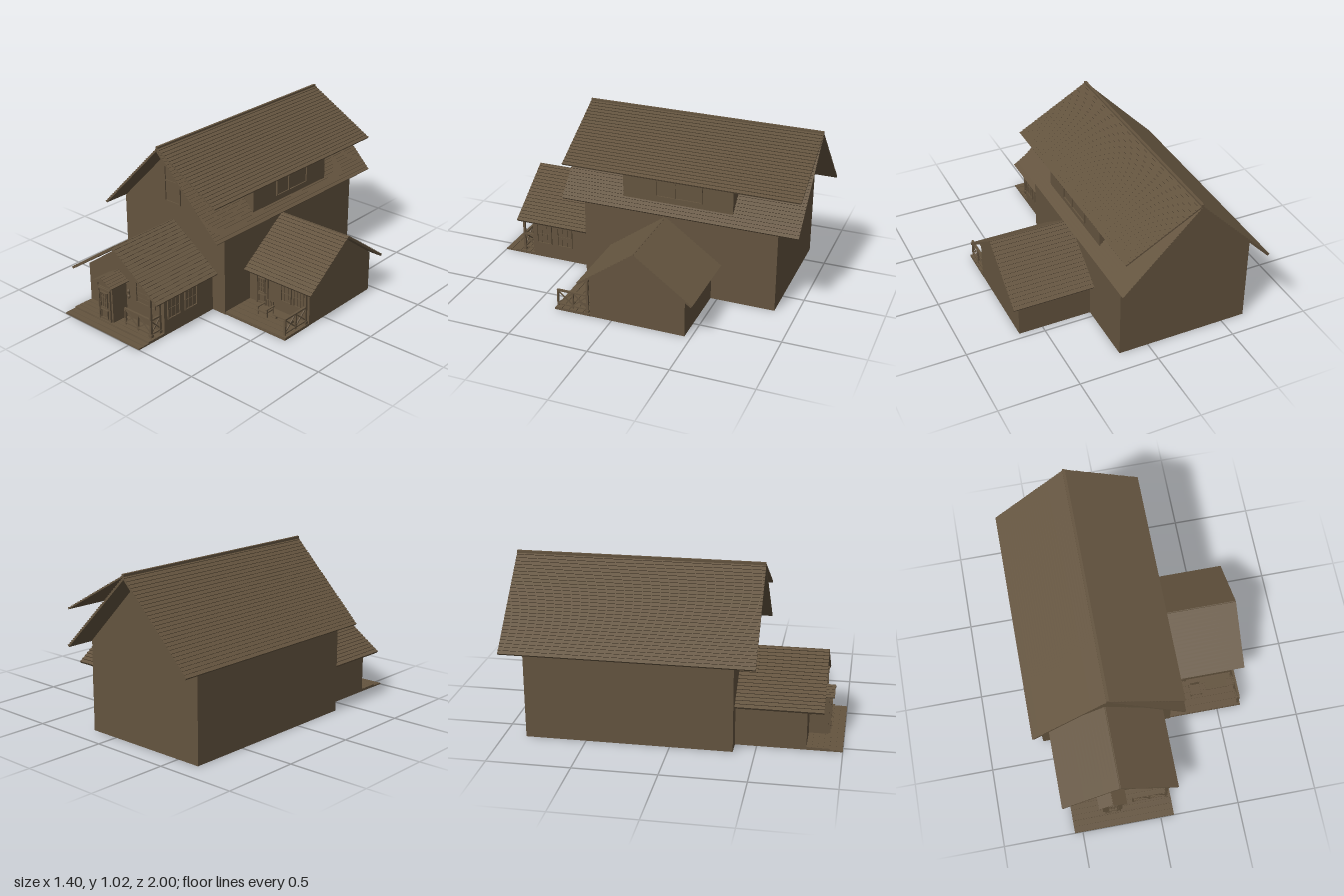
import * as THREE from 'three';

const brown = new THREE.MeshStandardMaterial({ color: 0x64543f });
brown.name = 'brown';

function add(parent, name, geo, x = 0, y = 0, z = 0) {
  const m = new THREE.Mesh(geo, brown);
  m.name = name;
  m.position.set(x, y, z);
  parent.add(m);
  return m;
}

function group(parent, name, x = 0, y = 0, z = 0, ry = 0) {
  const g = new THREE.Group();
  g.name = name;
  g.position.set(x, y, z);
  g.rotation.y = ry;
  parent.add(g);
  return g;
}

// Box given by its minimum and maximum corners
function box(parent, name, x0, x1, y0, y1, z0, z1) {
  return add(parent, name, new THREE.BoxGeometry(x1 - x0, y1 - y0, z1 - z0),
    (x0 + x1) / 2, (y0 + y1) / 2, (z0 + z1) / 2);
}

// Outline in x, y pulled along z
function prism(parent, name, pts, z0, z1) {
  const shape = new THREE.Shape(pts.map(p => new THREE.Vector2(p[0], p[1])));
  return add(parent, name, new THREE.ExtrudeGeometry(shape, { depth: z1 - z0, bevelEnabled: false }), 0, 0, z0);
}

// Roof slope with stepped shingle courses from ridge down to eave
function slope(parent, name, ridge, eave, z0, z1, courses, thick = 0.016, step = 0.006) {
  const dx = eave[0] - ridge[0], dy = eave[1] - ridge[1], len = Math.hypot(dx, dy);
  const s = Math.sign(dx), nx = -dy * s / len * s, ny = Math.abs(dx) / len;
  const at = (t, o) => [ridge[0] + dx * t + nx * o * s, ridge[1] + dy * t + ny * o];
  const pts = [];
  for (let i = 0; i < courses; i++) {
    pts.push(at(i / courses, -step), at((i + 1) / courses, 0));
  }
  pts.push(at(1, -thick), [ridge[0], ridge[1] - thick * len / Math.abs(dx)]);
  return prism(parent, name, pts, z0, z1);
}

// Bar between two points in the x, y plane
function bar(parent, name, a, b, w, d) {
  const dx = b[0] - a[0], dy = b[1] - a[1];
  const m = add(parent, name, new THREE.BoxGeometry(Math.hypot(dx, dy), w, d), (a[0] + b[0]) / 2, (a[1] + b[1]) / 2, 0);
  m.rotation.z = Math.atan2(dy, dx);
}

// Framed window facing +z, origin at its lower left corner
function windowUnit(parent, name, x, y, z, w, h, cols, rows, ry = 0, f = 0.006) {
  const g = group(parent, name, x, y, z, ry);
  box(g, 'pane', 0, w, 0, h, 0, 0.002);
  for (const u of [0, w - f]) box(g, 'frameSide', u, u + f, 0, h, 0, 0.01);
  for (const v of [0, h - f]) box(g, 'frameRail', f, w - f, v, v + f, 0, 0.01);
  for (let i = 1; i < cols; i++) box(g, 'mullion', w * i / cols - 0.0015, w * i / cols + 0.0015, f, h - f, 0.001, 0.006);
  for (let j = 1; j < rows; j++) box(g, 'crossbar', f, w - f, h * j / rows - 0.0015, h * j / rows + 0.0015, 0.001, 0.0055);
  return g;
}

// Panelled door with a glazed upper half
function door(parent, x, y, z, w, h) {
  const g = group(parent, 'door', x, y, z);
  box(g, 'doorLeaf', 0, w, 0, h, 0, 0.006);
  for (const u of [-0.008, w]) box(g, 'doorJamb', u, u + 0.008, 0, h + 0.008, 0, 0.012);
  box(g, 'doorHead', 0, w, h, h + 0.008, 0, 0.012);
  windowUnit(g, 'doorGlazing', w * 0.15, h * 0.43, 0.006, w * 0.7, h * 0.5, 3, 3, 0, 0.004);
  windowUnit(g, 'doorPanel', w * 0.15, h * 0.08, 0.006, w * 0.7, h * 0.28, 1, 1, 0, 0.004);
  add(g, 'doorKnob', new THREE.SphereGeometry(0.004, 10, 8), w * 0.94, h * 0.45, 0.01);
}

// Railing with crossed braces running along local x
function railing(parent, x, y, z, len, bays, ry = 0) {
  const g = group(parent, 'railing', x, y, z, ry), h = 0.11;
  box(g, 'topRail', 0, len, h - 0.01, h, -0.007, 0.007);
  box(g, 'bottomRail', 0, len, 0.008, 0.016, -0.005, 0.005);
  for (let i = 0; i <= bays; i++) {
    const u = len * i / bays;
    box(g, 'railPost', u - 0.005, u + 0.005, 0, h, -0.006, 0.006);
    if (i === bays) continue;
    const v = len * (i + 1) / bays;
    bar(g, 'brace', [u, 0.016], [v, h - 0.01], 0.007, 0.006);
    bar(g, 'brace', [u, h - 0.01], [v, 0.016], 0.007, 0.005);
  }
}

// Deck of boards running along x
function deck(parent, x0, x1, z0, z1, y, boards) {
  const g = group(parent, 'deck'), d = (z1 - z0) / boards;
  box(g, 'deckBase', x0, x1, 0, y - 0.004, z0, z1);
  for (let i = 0; i < boards; i++) box(g, 'board', x0, x1, y - 0.004, y, z0 + i * d, z0 + (i + 1) * d - 0.003);
}

function post(parent, x, z, h) {
  const g = group(parent, 'porchPost', x, 0.015, z);
  box(g, 'shaft', -0.007, 0.007, 0, h, -0.007, 0.007);
  box(g, 'cap', -0.011, 0.011, h - 0.015, h, -0.011, 0.011);
  box(g, 'foot', -0.011, 0.011, 0, 0.02, -0.011, 0.011);
}

function mainHouse(parent) {
  const g = group(parent, 'mainHouse'), R = [-0.23, 1.02];
  prism(g, 'walls', [[-0.65, 0], [0.185, 0], [0.185, 0.55], [-0.23, 0.98], [-0.65, 0.55]], -0.865, 0.372);
  slope(g, 'leftRoof', R, [-0.70, 0.54], -1, 0.5, 30);
  slope(g, 'rightRoof', [-0.23, 1.01], [0.243, 0.54], -1, 0.5, 30);
  slope(g, 'dormerRoof', R, [0.23, 0.763], -1, 0.5, 22, 0.012);
  box(g, 'ridgeCap', -0.238, -0.222, 1.008, 1.024, -1, 0.5);
  prism(g, 'dormerWalls', [[-0.2, 0.93], [0.185, 0.57], [0.185, 0.757], [-0.2, 0.968]], -0.585, 0.113);
  // Attic window and dormer windows
  windowUnit(g, 'atticWindow', -0.295, 0.62, 0.372, 0.13, 0.238, 1, 1, 0, 0.008);
  box(g, 'atticTransom', -0.287, -0.173, 0.752, 0.762, 0.373, 0.381);
  windowUnit(g, 'dormerWindow', 0.185, 0.63, -0.10, 0.12, 0.108, 1, 1, Math.PI / 2);
  windowUnit(g, 'dormerWindow', 0.185, 0.63, -0.22, 0.175, 0.108, 1, 1, Math.PI / 2);
}

function frontExtension(parent) {
  const g = group(parent, 'frontExtension'), R = [-0.235, 0.515];
  prism(g, 'walls', [[-0.55, 0], [0.085, 0], [0.085, 0.265], [-0.235, 0.49], [-0.55, 0.265]], 0.37, 0.79);
  slope(g, 'leftRoof', R, [-0.60, 0.262], 0.37, 0.887, 18);
  slope(g, 'rightRoof', R, [0.13, 0.262], 0.37, 0.887, 18);
  deck(g, -0.55, 0.085, 0.79, 0.925, 0.017, 4);
  deck(g, -0.55, 0.085, 0.925, 1.0, 0.009, 2);
  // Entrance box with a small gabled canopy
  const e = group(g, 'entrance');
  box(e, 'entranceBox', -0.352, -0.228, 0.015, 0.268, 0.79, 0.905);
  prism(e, 'canopyGable', [[-0.36, 0.262], [-0.22, 0.262], [-0.29, 0.3]], 0.79, 0.918);
  slope(e, 'canopyLeft', [-0.29, 0.313], [-0.378, 0.265], 0.79, 0.935, 5, 0.008, 0.003);
  slope(e, 'canopyRight', [-0.29, 0.313], [-0.202, 0.265], 0.79, 0.935, 5, 0.008, 0.003);
  door(e, -0.332, 0.017, 0.905, 0.084, 0.205);
  windowUnit(e, 'transom', -0.345, 0.236, 0.905, 0.11, 0.028, 1, 1, 0, 0.004);
  // Wall lanterns either side of the entrance
  for (const x of [-0.38, -0.203]) {
    const l = group(g, 'wallLantern', x, 0.18, 0.797);
    for (const y of [-0.018, 0.018]) add(l, 'lanternGlobe', new THREE.SphereGeometry(0.01, 10, 8), 0, y, 0).scale.y = 1.4;
    box(l, 'lanternBracket', -0.004, 0.004, -0.02, 0.02, -0.007, 0.002);
  }
  // Front window, side windows and porch
  windowUnit(g, 'frontWindow', -0.14, 0.15, 0.79, 0.16, 0.137, 1, 4);
  for (const z of [0.765, 0.62]) windowUnit(g, 'sideWindow', 0.085, 0.1, z, 0.105, 0.135, 3, 2, Math.PI / 2);
  railing(g, -0.155, 0.025, 0.872, 0.21, 2);
  railing(g, 0.057, 0.025, 0.872, 0.08, 1, Math.PI / 2);
  post(g, 0.057, 0.872, 0.265);
  post(g, 0.057, 0.8, 0.265);
}

function chair(parent, x, z) {
  const g = group(parent, 'chair', x, 0.017, z);
  for (const s of [-1, 1]) {
    for (const d of [-0.03, 0.03]) box(g, 'chairLeg', s * 0.034 - 0.004, s * 0.034 + 0.004, 0, 0.052, d - 0.004, d + 0.004);
    box(g, 'armRest', s * 0.034 - 0.006, s * 0.034 + 0.006, 0.05, 0.056, -0.038, 0.04);
  }
  box(g, 'seat', -0.034, 0.034, 0.026, 0.034, -0.034, 0.036);
  for (let i = 0; i < 5; i++) box(g, 'backSlat', -0.031 + i * 0.013, -0.021 + i * 0.013, 0.034, 0.078, -0.038, -0.032);
}

function sideWing(parent) {
  const g = group(parent, 'sideWing');
  // Local x runs towards the back of the house
  const t = group(g, 'wingShell', 0, 0, 0, Math.PI / 2), R = [0.16, 0.505];
  prism(t, 'walls', [[-0.14, 0], [0.46, 0], [0.46, 0.26], [0.16, 0.48], [-0.14, 0.26]], 0.18, 0.65);
  slope(t, 'frontRoof', R, [-0.20, 0.243], 0.18, 0.70, 18);
  slope(t, 'backRoof', R, [0.523, 0.243], 0.18, 0.70, 18);
  deck(g, 0.185, 0.652, 0.14, 0.368, 0.017, 5);
  // Porch front
  door(g, 0.252, 0.017, 0.14, 0.075, 0.195);
  for (const x of [0.435, 0.532]) windowUnit(g, 'porchWindow', x, 0.093, 0.14, 0.08, 0.118, 3, 2);
  chair(g, 0.384, 0.225);
  const b = group(g, 'lowTable');
  box(b, 'tableTop', 0.45, 0.592, 0.038, 0.045, 0.18, 0.24);
  for (const x of [0.465, 0.572]) box(b, 'tableLeg', x, x + 0.006, 0.015, 0.038, 0.185, 0.235);
  railing(g, 0.637, 0.025, 0.352, 0.195, 2, Math.PI / 2);
  post(g, 0.637, 0.16, 0.225);
}

export function createModel() {
  const model = new THREE.Group();
  model.name = 'house';
  mainHouse(model);
  frontExtension(model);
  sideWing(model);
  return model;
}
